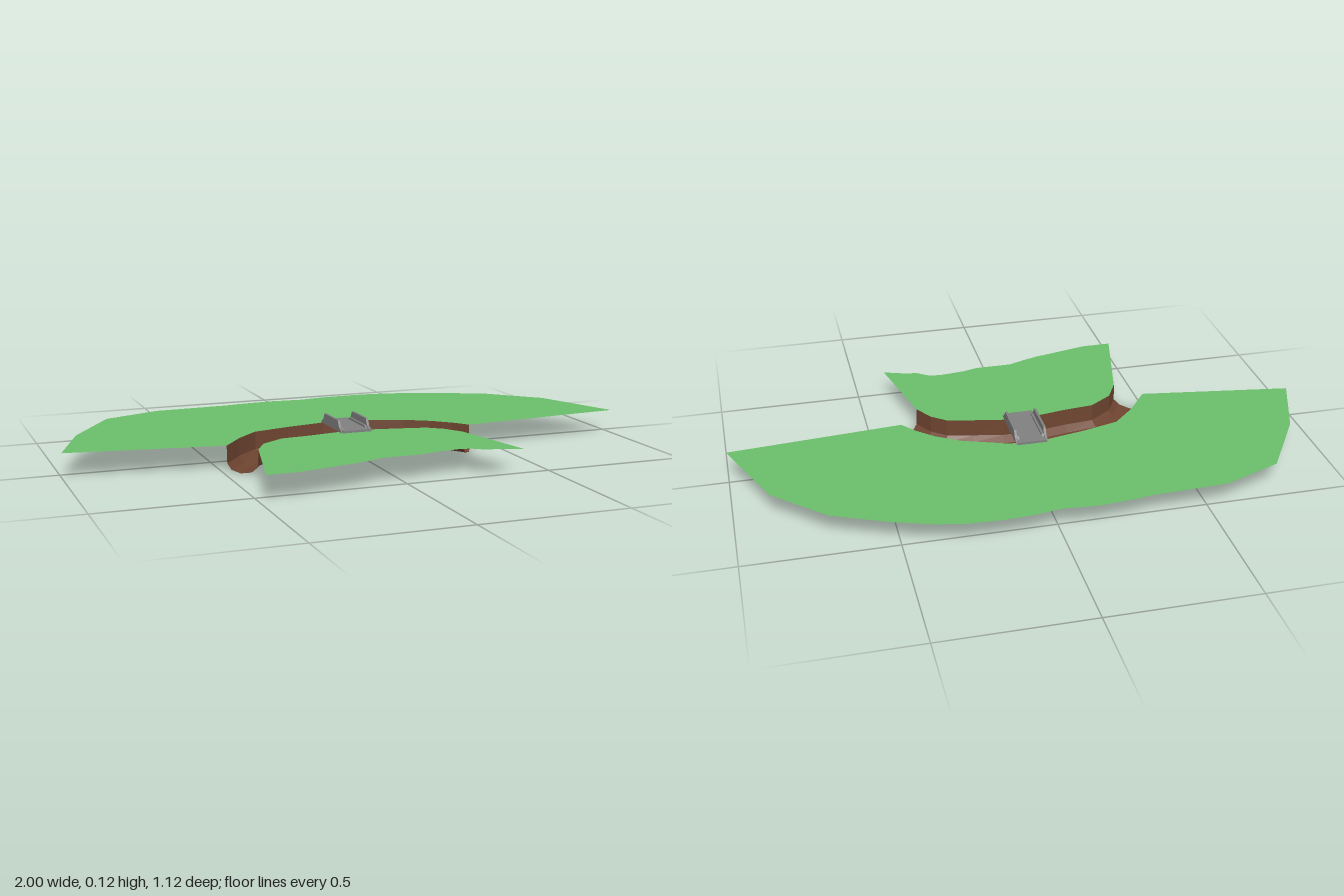
import * as THREE from 'three';

const GROUND_Y = 0.083;

// Bank lines of the river bed as [x, z], running from -x to +x
const backBank = [[-0.48, 0.13], [-0.41, 0.035], [-0.33, -0.045], [-0.2, -0.08], [-0.065, -0.107],
  [0.065, -0.107], [0.22, -0.05], [0.3, 0], [0.36, 0.055], [0.4, 0.107]];
const frontBank = [[-0.4, 0.22], [-0.36, 0.145], [-0.28, 0.09], [-0.18, 0.08], [-0.06, 0.06],
  [0.05, 0.06], [0.15, 0.08], [0.24, 0.1], [0.29, 0.14], [0.33, 0.205]];

// Outer rims of the two grass fields
const backRim = [[-1, 0.05], [-0.91, -0.2], [-0.76, -0.44], [-0.56, -0.52], [-0.3, -0.53], [-0.24, -0.54],
  [-0.12, -0.55], [0, -0.54], [0.09, -0.555], [0.2, -0.56], [0.3, -0.555], [0.4, -0.535], [0.53, -0.49],
  [0.71, -0.41], [0.88, -0.245], [1, 0.055]];
const frontRim = [[-0.48, 0.555], [-0.38, 0.555], [-0.27, 0.53], [-0.18, 0.51], [-0.12, 0.49], [-0.07, 0.47],
  [0.06, 0.47], [0.11, 0.455], [0.2, 0.445], [0.24, 0.45], [0.28, 0.48], [0.33, 0.49], [0.4, 0.515]];

function material(color, side = THREE.FrontSide) {
  return new THREE.MeshStandardMaterial({ color, side, flatShading: true });
}

function addMesh(parent, name, geometry, mat) {
  const mesh = new THREE.Mesh(geometry, mat);
  mesh.name = name;
  parent.add(mesh);
  return mesh;
}

// Flat sheet between a bank and a rim
function fieldGeometry(bank, rim) {
  const outline = [...rim, ...[...bank].reverse()];
  const shape = new THREE.Shape(outline.map(([x, z]) => new THREE.Vector2(x, -z)));
  return new THREE.ShapeGeometry(shape).rotateX(-Math.PI / 2).translate(0, GROUND_Y, 0);
}

// Open channel: one cross-section [share of width, height] swept along the banks
function channelGeometry() {
  const section = [[0, GROUND_Y], [0.015, 0.024], [0.18, 0.006], [0.5, 0], [0.82, 0.006], [0.985, 0.024], [1, GROUND_Y]];
  const positions = [];
  const index = [];
  const last = backBank.length - 1;
  const n = section.length;
  backBank.forEach(([bx, bz], i) => {
    const [fx, fz] = frontBank[i];
    // the ends bulge slightly outward at the middle of the bed
    const bulge = i === 0 ? -0.009 : i === last ? 0.009 : 0;
    for (const [t, y] of section) {
      const b = bulge * 4 * t * (1 - t);
      positions.push(bx + (fx - bx) * t + b, y, bz + (fz - bz) * t + Math.abs(b));
    }
    if (i === last) return;
    for (let j = 0; j < n - 1; j++) {
      const a = i * n + j;
      index.push(a, a + 1, a + n, a + 1, a + n + 1, a + n);
    }
  });
  const geometry = new THREE.BufferGeometry();
  geometry.setAttribute('position', new THREE.Float32BufferAttribute(positions, 3));
  geometry.setIndex(index);
  geometry.computeVertexNormals();
  return geometry;
}

// Side wall of the bridge, profile [z, y] extruded across x
function railGeometry(profile, thickness) {
  const shape = new THREE.Shape(profile.map(([z, y]) => new THREE.Vector2(-z, y)));
  return new THREE.ExtrudeGeometry(shape, { depth: thickness, bevelEnabled: false })
    .translate(0, 0, -thickness / 2)
    .rotateY(Math.PI / 2);
}

export function createModel() {
  const model = new THREE.Group();
  model.name = 'riverCrossing';

  // Grass on both sides of the river
  const grass = material(0x6abf6a, THREE.DoubleSide);
  addMesh(model, 'backField', fieldGeometry(backBank, backRim), grass);
  addMesh(model, 'frontField', fieldGeometry(frontBank, frontRim), grass);

  // River bed
  addMesh(model, 'riverBed', channelGeometry(), material(0x6e4430, THREE.DoubleSide));

  // Bridge: flat deck with a stepped wall along each side
  const bridge = new THREE.Group();
  bridge.name = 'bridge';
  bridge.position.x = -0.01;
  model.add(bridge);
  const stone = material(0x808080);
  const deck = addMesh(bridge, 'bridgeDeck', new THREE.BoxGeometry(0.1, 0.008, 0.213), stone);
  deck.position.set(0, GROUND_Y + 0.004, -0.0175);

  const wall = [[0.09, GROUND_Y], [0.06, 0.098], [0.048, 0.12], [-0.085, 0.12], [-0.098, 0.097], [-0.123, GROUND_Y]];
  const footing = [[0.075, GROUND_Y], [0.055, 0.098], [-0.09, 0.098], [-0.11, GROUND_Y]];
  for (const side of [-1, 1]) {
    const label = side > 0 ? 'left' : 'right';
    addMesh(bridge, label + 'Rail', railGeometry(wall, 0.008), stone).position.x = side * 0.051;
    addMesh(bridge, label + 'RailFooting', railGeometry(footing, 0.01), stone).position.x = side * 0.044;
  }
  return model;
}
